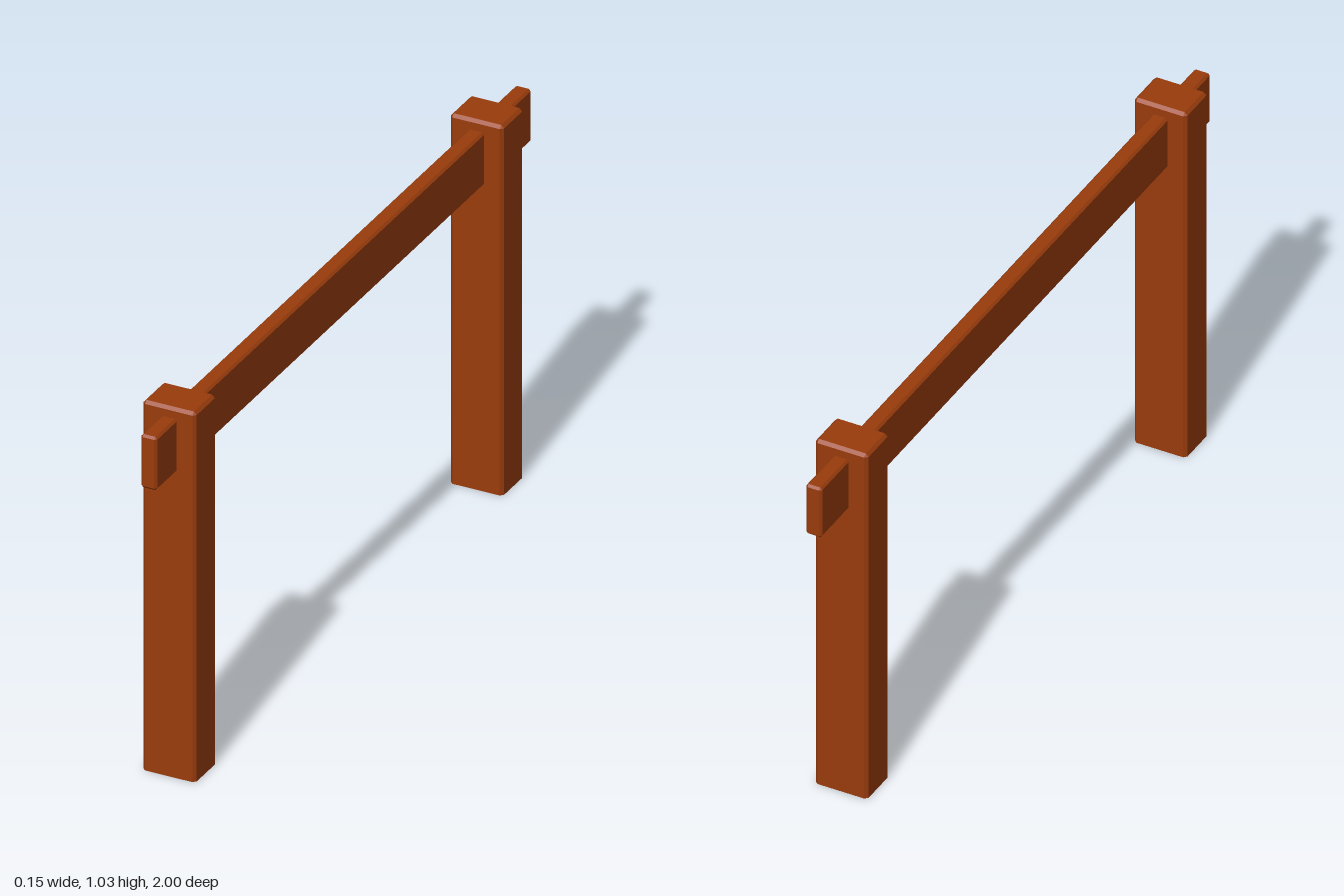
import * as THREE from 'three';
import { ConvexGeometry } from 'three/addons/geometries/ConvexGeometry.js';

// Box with chamfered edges, standing on y = 0; the bottom edges may stay sharp.
function chamferedBox(w, h, d, c, sharpBottom = false) {
  const points = [];
  const x = w / 2, z = d / 2;
  for (const sx of [-1, 1]) for (const sz of [-1, 1]) for (const top of [false, true]) {
    const sharp = sharpBottom && !top;
    const y = top ? h : 0;
    const inset = sharp ? 0 : top ? h - c : c;
    points.push(
      new THREE.Vector3(sx * x, inset, sz * (z - c)),
      new THREE.Vector3(sx * (x - c), inset, sz * z));
    if (!sharp) points.push(new THREE.Vector3(sx * (x - c), y, sz * (z - c)));
  }
  return new ConvexGeometry(points);
}

export function createModel() {
  const model = new THREE.Group();
  model.name = 'barrier';
  const wood = new THREE.MeshStandardMaterial({ color: 0x9a3c0c, flatShading: true });

  // Two upright posts
  const postGeometry = chamferedBox(0.146, 1.028, 0.113, 0.008, true);
  for (const [name, z] of [['frontPost', 0.835], ['backPost', -0.802]]) {
    const post = new THREE.Mesh(postGeometry, wood);
    post.name = name;
    post.position.z = z;
    model.add(post);
  }

  // Rail running through both posts
  const rail = new THREE.Mesh(chamferedBox(0.044, 0.148, 2, 0.006), wood);
  rail.name = 'rail';
  rail.position.y = 0.851;
  model.add(rail);

  return model;
}
